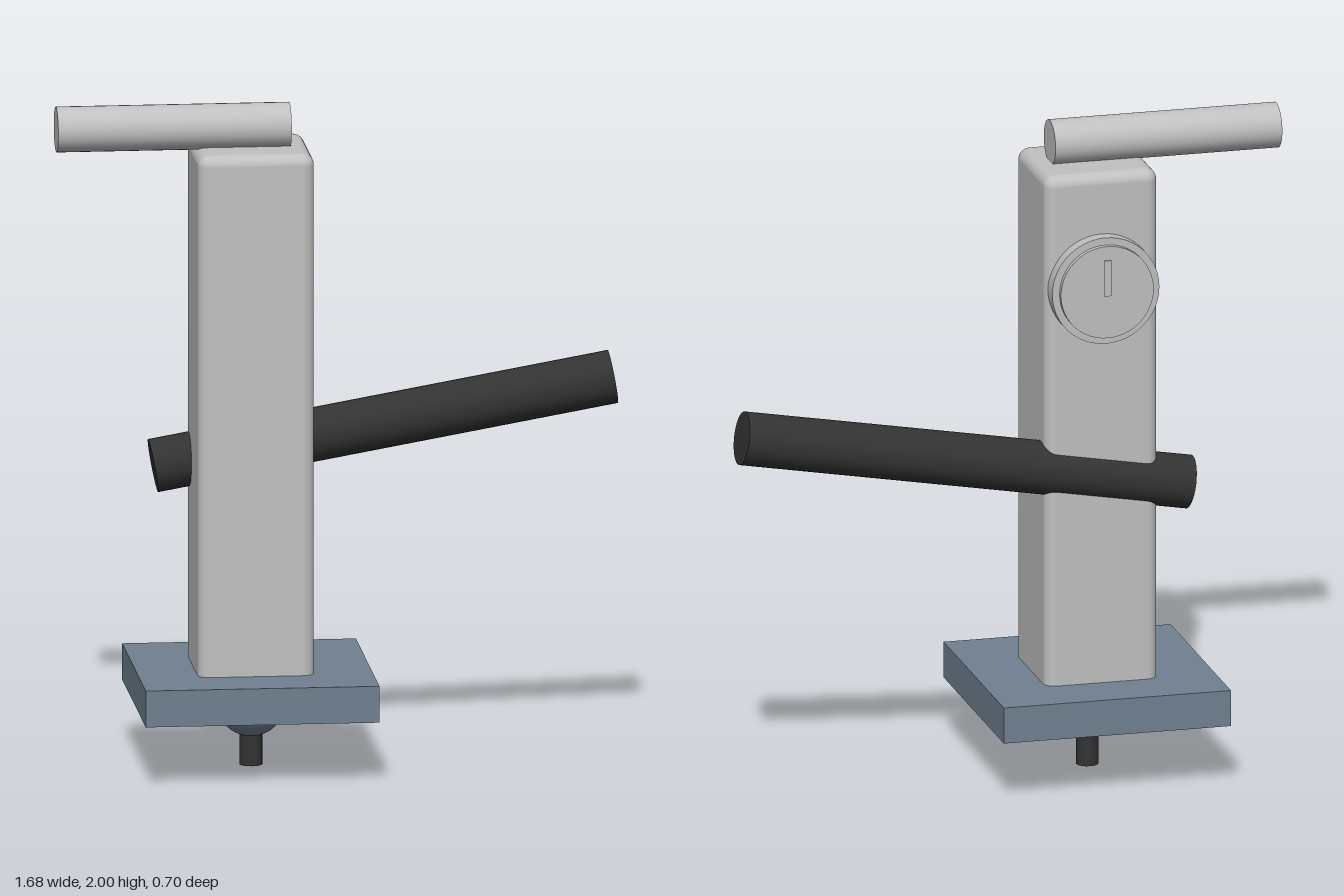
import * as THREE from 'three';
import { RoundedBoxGeometry } from 'three/addons/geometries/RoundedBoxGeometry.js';

const CX = -0.265; // column axis

function material(name, color) {
  const m = new THREE.MeshStandardMaterial({ color });
  m.name = name;
  return m;
}

export function createModel() {
  const group = new THREE.Group();
  const silver = material('silver metal', 0xc0c0c0);
  const slate = material('slate metal', 0x708090);
  const dark = material('dark grip', 0x333333);

  const add = (name, geometry, mat, x, y, z) => {
    const mesh = new THREE.Mesh(geometry, mat);
    mesh.name = name;
    mesh.position.set(x, y, z);
    group.add(mesh);
    return mesh;
  };

  // Square base plate
  add('basePlate', new THREE.BoxGeometry(0.696, 0.11, 0.696), slate, CX, 0.245, 0);

  // Half-ball and pin under the base
  add('underDome', new THREE.SphereGeometry(0.105, 32, 16, 0, Math.PI * 2, Math.PI / 2, Math.PI / 2),
    slate, CX, 0.192, 0);
  add('bottomPin', new THREE.CylinderGeometry(0.034, 0.034, 0.12, 16), dark, CX, 0.06, 0);

  // Upright column with rounded edges, its foot sunk into the base
  add('column', new RoundedBoxGeometry(0.346, 1.61, 0.346, 4, 0.035), silver, CX, 1.07, 0);

  // Horizontal bar across the top
  add('topBar', new THREE.CylinderGeometry(0.068, 0.068, 0.695, 32), silver, -0.4975, 1.932, 0)
    .rotation.z = Math.PI / 2;

  // Long lever, rising ten degrees toward +x
  add('lever', new THREE.CylinderGeometry(0.08, 0.08, 1.39, 32), dark, 0.14, 1.005, -0.117)
    .rotation.z = -Math.PI / 2 + THREE.MathUtils.degToRad(10);

  // Round gauge on the back: housing, raised dial and needle
  add('gaugeHousing', new THREE.CylinderGeometry(0.164, 0.164, 0.075, 48), silver, CX, 1.526, -0.1775)
    .rotation.x = Math.PI / 2;
  add('gaugeDial', new THREE.CylinderGeometry(0.142, 0.142, 0.03, 48), silver, CX, 1.526, -0.217)
    .rotation.x = Math.PI / 2;
  add('gaugeNeedle', new THREE.BoxGeometry(0.022, 0.11, 0.008), silver, CX, 1.57, -0.233);

  return group;
}
